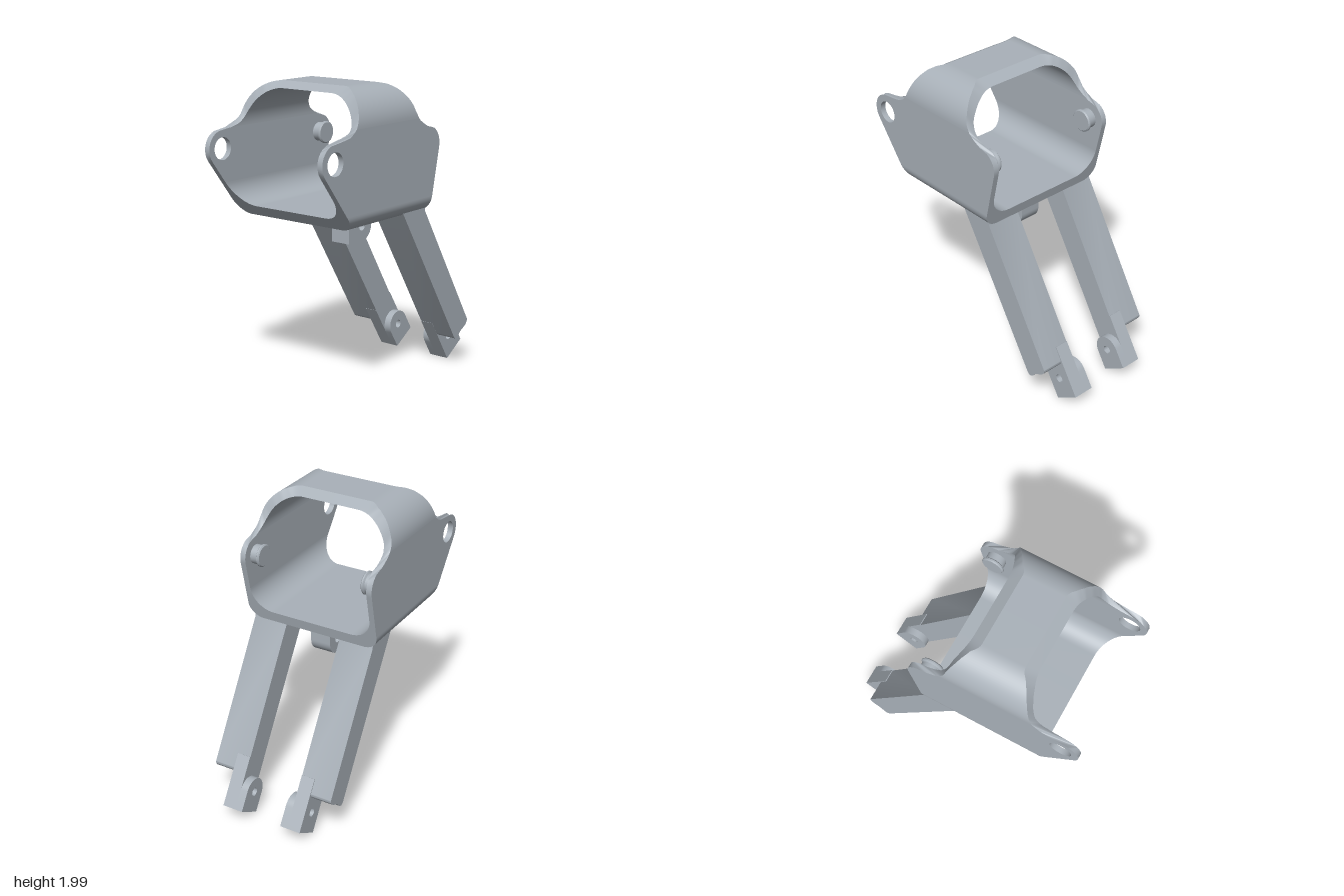
import * as THREE from 'three';
import { toCreasedNormals } from 'three/addons/utils/BufferGeometryUtils.js';

const steel = new THREE.MeshStandardMaterial({ color: 0xa9b1b9, side: THREE.DoubleSide });
steel.name = 'steel grey';

function add(parent, name, geometry) {
  const mesh = new THREE.Mesh(geometry, steel);
  mesh.name = name;
  parent.add(mesh);
  return mesh;
}

function circle(x, y, r) {
  return new THREE.Path().absarc(x, y, r, 0, Math.PI * 2, false);
}

// Plate in the xy plane spanning za..zb
function plate(shape, za, zb) {
  const geometry = new THREE.ExtrudeGeometry(shape, {
    depth: Math.abs(zb - za), bevelEnabled: false, curveSegments: 20,
  });
  geometry.translate(0, 0, Math.min(za, zb));
  return toCreasedNormals(geometry, 0.5);
}

function polygon(points) {
  return new THREE.Shape(points.map(([x, y]) => new THREE.Vector2(x, y)));
}

function arcPoints(cx, cy, r, fromDeg, toDeg, n) {
  return Array.from({ length: n + 1 }, (_, i) => {
    const a = THREE.MathUtils.degToRad(fromDeg + ((toDeg - fromDeg) * i) / n);
    return [cx + r * Math.cos(a), cy + r * Math.sin(a)];
  });
}

// Side outline of the shell, from bottom to top along each edge
const EYE = [-0.738, 1.595];
const leftEdge = [
  [-0.553, 1.16], ...arcPoints(...EYE, 0.117, 217, 92, 16),
  [-0.67, 1.718], [-0.6, 1.733], [-0.57, 1.75], [-0.54, 1.777], [-0.515, 1.83],
  [-0.495, 1.88], [-0.47, 1.93], [-0.44, 1.97], [-0.41, 1.99], [-0.375, 2],
];
const rightEdge = [
  [0.204, 1.16], ...arcPoints(0.183, 1.595, 0.116, -12, 65, 12),
  [0.17, 1.715], [0.114, 1.743], [0.08, 1.77], [0.05, 1.817], [0.03, 1.88],
  [0.01, 1.92], [-0.02, 1.965], [-0.05, 1.99], [-0.09, 2],
];

function edgeX(edge, y) {
  for (let i = 1; i < edge.length; i++) {
    const [x0, y0] = edge[i - 1], [x1, y1] = edge[i];
    if (y <= y1) return x0 + ((x1 - x0) * Math.max(0, y - y0)) / (y1 - y0);
  }
  return edge[edge.length - 1][0];
}

const CORNER = 24, WALL = 60;

// Half of the rounded-rectangle section as [z, y], bottom centre to top centre
function halfSection(w, bottom, top, rb, rt) {
  const points = [[0, bottom], ...arcPoints(w - rb, bottom + rb, rb, -90, 0, CORNER)];
  const y0 = bottom + rb, y1 = top - rt;
  for (let i = 1; i < WALL; i++) points.push([w, y0 + ((y1 - y0) * i) / WALL]);
  return [...points, ...arcPoints(w - rt, y1, rt, 0, 90, CORNER), [0, top]];
}

// Strip of quads between two equally long rows of points
function strip(rowA, rowB, skip = () => false) {
  const positions = [], index = [];
  rowA.forEach((a, i) => positions.push(...a, ...rowB[i]));
  for (let i = 0; i < rowA.length - 1; i++) {
    if (skip(i)) continue;
    const k = i * 2;
    index.push(k, k + 2, k + 1, k + 1, k + 2, k + 3);
  }
  const geometry = new THREE.BufferGeometry();
  geometry.setAttribute('position', new THREE.Float32BufferAttribute(positions, 3));
  geometry.setIndex(index);
  geometry.computeVertexNormals();
  return geometry;
}

function buildShell() {
  const shell = new THREE.Group();
  shell.name = 'shell';
  const outer = halfSection(0.47, 1.16, 2, 0.1, 0.225);
  const inner = halfSection(0.433, 1.23, 1.96, 0.15, 0.24);
  const first = 1 + CORNER, last = first + WALL;
  const inWall = (i) => i >= first && i < last;

  for (const s of [1, -1]) {
    const row = (section, edge) => section.map(([z, y]) => [edgeX(edge, y), y, s * z]);
    const rows = {};
    for (const [name, section] of [['outer', outer], ['inner', inner]]) {
      const l = row(section, leftEdge), r = row(section, rightEdge);
      rows[name] = { l, r };
      // Curved floor and roof skin
      const flip = (s > 0) === (name === 'outer');
      add(shell, name + 'Skin', flip ? strip(r, l, inWall) : strip(l, r, inWall));
      // Flat side wall with its round eye
      const wall = polygon([...r.slice(first, last + 1), ...l.slice(first, last + 1).reverse()]);
      wall.holes.push(circle(...EYE, 0.072));
      const face = new THREE.ShapeGeometry(wall, 24);
      if (!flip) face.rotateY(0);
      face.translate(0, 0, s * section[first][0]);
      add(shell, name + 'Wall', face);
    }
    add(shell, 'leftRim', strip(rows.outer.l, rows.inner.l));
    add(shell, 'rightRim', strip(rows.outer.r, rows.inner.r));

    // Eye bore
    const bore = new THREE.CylinderGeometry(0.072, 0.072, 0.037, 40, 1, true);
    bore.rotateX(Math.PI / 2).translate(...EYE, s * 0.4515);
    add(shell, 'eyeBore', bore);

    // Headed peg on the inside of the wall
    const profile = [[0, 0], [0.066, 0], [0.074, 0.007], [0.074, 0.016], [0.063, 0.024], [0.063, 0.07]];
    const peg = new THREE.LatheGeometry(profile.map((p) => new THREE.Vector2(...p)), 36);
    peg.rotateX((s * Math.PI) / 2).translate(0.18, 1.595, s * 0.365);
    add(shell, 'peg', toCreasedNormals(peg, 0.6));
  }
  return shell;
}

function buildLeg(s) {
  const leg = new THREE.Group();
  leg.name = s > 0 ? 'frontLeg' : 'backLeg';

  // Long bar with a wavy lower end
  const bar = polygon([[-0.04, 1.195], [0.2, 1.195], [0.204, 1.16], [0.71, 0.325]].reverse());
  bar.lineTo(-0.04, 1.195);
  bar.lineTo(0.558, 0.228);
  bar.quadraticCurveTo(0.58, 0.195, 0.61, 0.225);
  bar.quadraticCurveTo(0.63, 0.255, 0.665, 0.268);
  bar.quadraticCurveTo(0.72, 0.295, 0.71, 0.325);
  add(leg, 'legBar', plate(bar, s * 0.195, s * 0.433));

  // Foot, built upright with its end face at y = 0
  const foot = new THREE.Group();
  foot.name = 'foot';
  foot.position.set(0.772, 0.062, 0);
  foot.rotation.z = 0.56;
  leg.add(foot);
  const h = 0.094, pin = 0.134, cut = 0.055;

  const tongue = polygon([[-h, cut], [h, cut], [h, 0.35], [-h, 0.35]]);
  tongue.holes.push(circle(0, pin, 0.028));
  add(foot, 'footTongue', plate(tongue, s * 0.195, s * 0.288));

  const lug = polygon([[-h, cut], [h, cut], ...arcPoints(0, pin, h, 0, 180, 24)]);
  lug.holes.push(circle(0, pin, 0.028));
  add(foot, 'footLug', plate(lug, s * 0.145, s * 0.195));

  // End block with a countersunk hole
  const w = 0.0715;
  const end = polygon([[-h, -w], [h, -w], [h, w], [-h, w]]);
  end.holes.push(circle(0, 0, 0.06));
  const block = plate(end, 0, cut);
  block.rotateX(Math.PI / 2).translate(0, cut, s * 0.2165);
  add(foot, 'footEnd', block);
  const cone = new THREE.CylinderGeometry(0.02, 0.06, cut, 32, 1, true);
  cone.translate(0, cut / 2, s * 0.2165);
  add(foot, 'countersink', cone);
  return leg;
}

export function createModel() {
  const model = new THREE.Group();
  model.name = 'bracket';
  model.add(buildShell(), buildLeg(1), buildLeg(-1));

  // Small pierced tab under the floor
  const tab = polygon([
    [-0.122, 1.14], [-0.122, 0.945], ...arcPoints(0.01, 1.042, 0.097, -90, 0, 16),
    [0.107, 1.17], [-0.02, 1.17], [-0.035, 1.14],
  ]);
  tab.holes.push(circle(0.01, 1.042, 0.028));
  add(model, 'underTab', plate(tab, -0.071, 0.071));
  return model;
}
